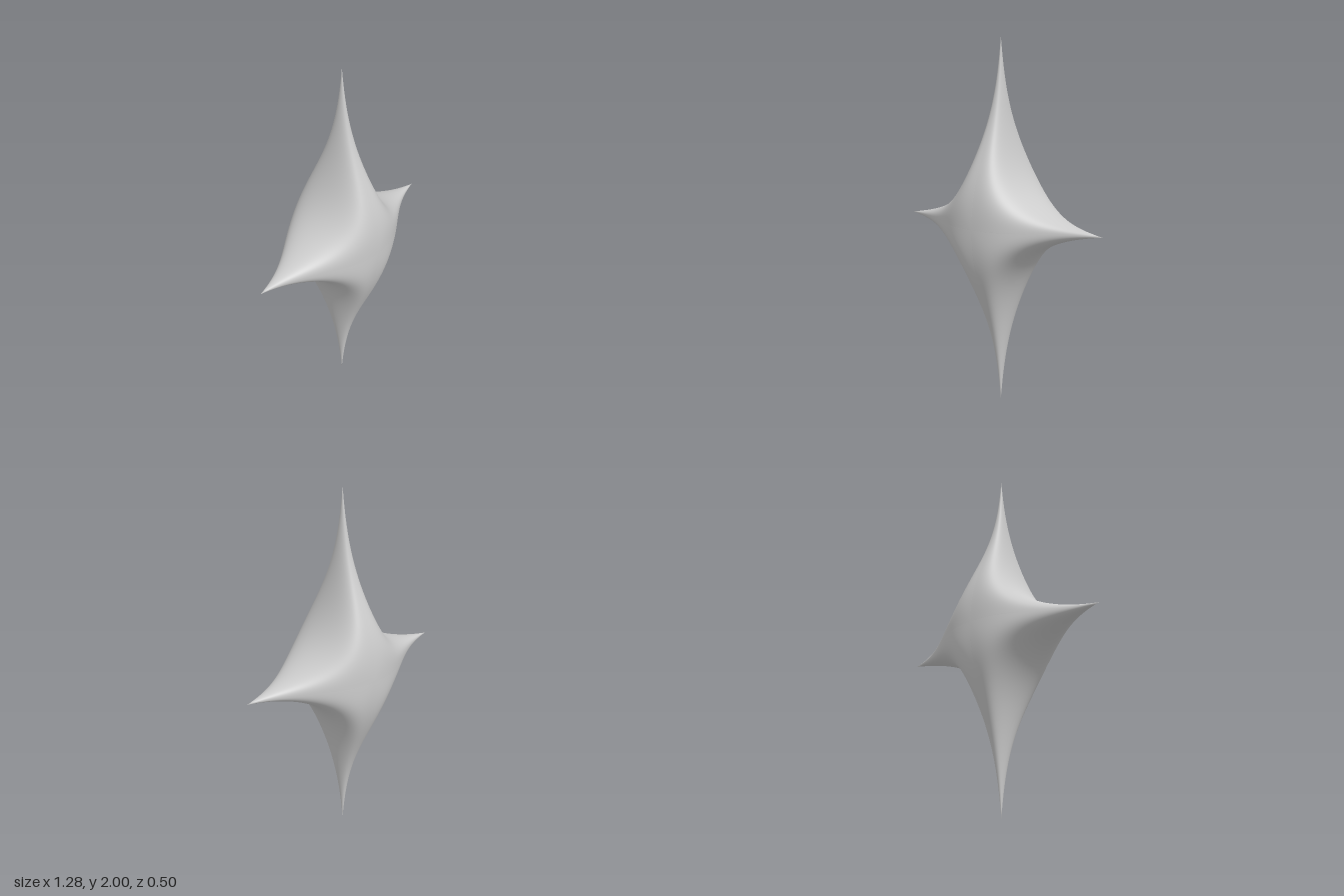
import * as THREE from 'three';
import { mergeVertices } from 'three/addons/utils/BufferGeometryUtils.js';

const HALF_WIDTH = 0.64, HALF_HEIGHT = 1, HALF_DEPTH = 0.25;
const E = 0.11; // sharpness of the hyperbolic outline

// Outline in unit coordinates: (u + E)(v + E) = E(1 + E)
const along = t => E * Math.pow((1 + E) / E, t) - E;
const across = v => Math.max(E * (1 - v) / (v + E), 1e-9);

// Thickness on the arm axes: domed in the middle, fading to fine points,
// with the side arms staying fuller than the upright ones
const swell = (u, v) =>
  Math.max(1 - Math.pow(u ** 3 + v ** 3, 2 / 3), 0) /
  (1 + 2.7 * Math.pow(u, 2.9) + 5.3 * Math.pow(v, 2.9));

// Reshape a sphere into a four-pointed star with rounded arms
function starGeometry() {
  const sphere = new THREE.SphereGeometry(1, 192, 96).rotateX(Math.PI / 2);
  sphere.deleteAttribute('uv');
  sphere.deleteAttribute('normal');
  const geometry = mergeVertices(sphere, 1e-5);
  const p = geometry.attributes.position;
  for (let i = 0; i < p.count; i++) {
    const x = p.getX(i), y = p.getY(i), z = p.getZ(i);
    const s = Math.min(Math.hypot(x, y), 1);
    const w = Math.atan2(Math.abs(y), Math.abs(x)) * 2 / Math.PI;
    const u = Math.max(s * along(1 - w), 0), v = Math.max(s * along(w), 0);
    // q is 0 on the arm axes and 1 on the outline
    const q = Math.min((u / across(v)) * (v / across(u)), 1);
    const depth = Math.abs(z) < 1e-6 ? 0 : swell(u, v) * Math.sqrt(1 - q * q);
    p.setXYZ(i,
      Math.sign(x) * u * HALF_WIDTH,
      Math.sign(y) * v * HALF_HEIGHT,
      Math.sign(z) * depth * HALF_DEPTH);
  }
  geometry.computeVertexNormals();
  return geometry;
}

export function createModel() {
  const group = new THREE.Group();
  group.name = 'sparkle';
  const star = new THREE.Mesh(starGeometry(), new THREE.MeshStandardMaterial({ color: 0xcccccc }));
  star.name = 'fourPointedStar';
  star.position.y = HALF_HEIGHT;
  group.add(star);
  return group;
}
